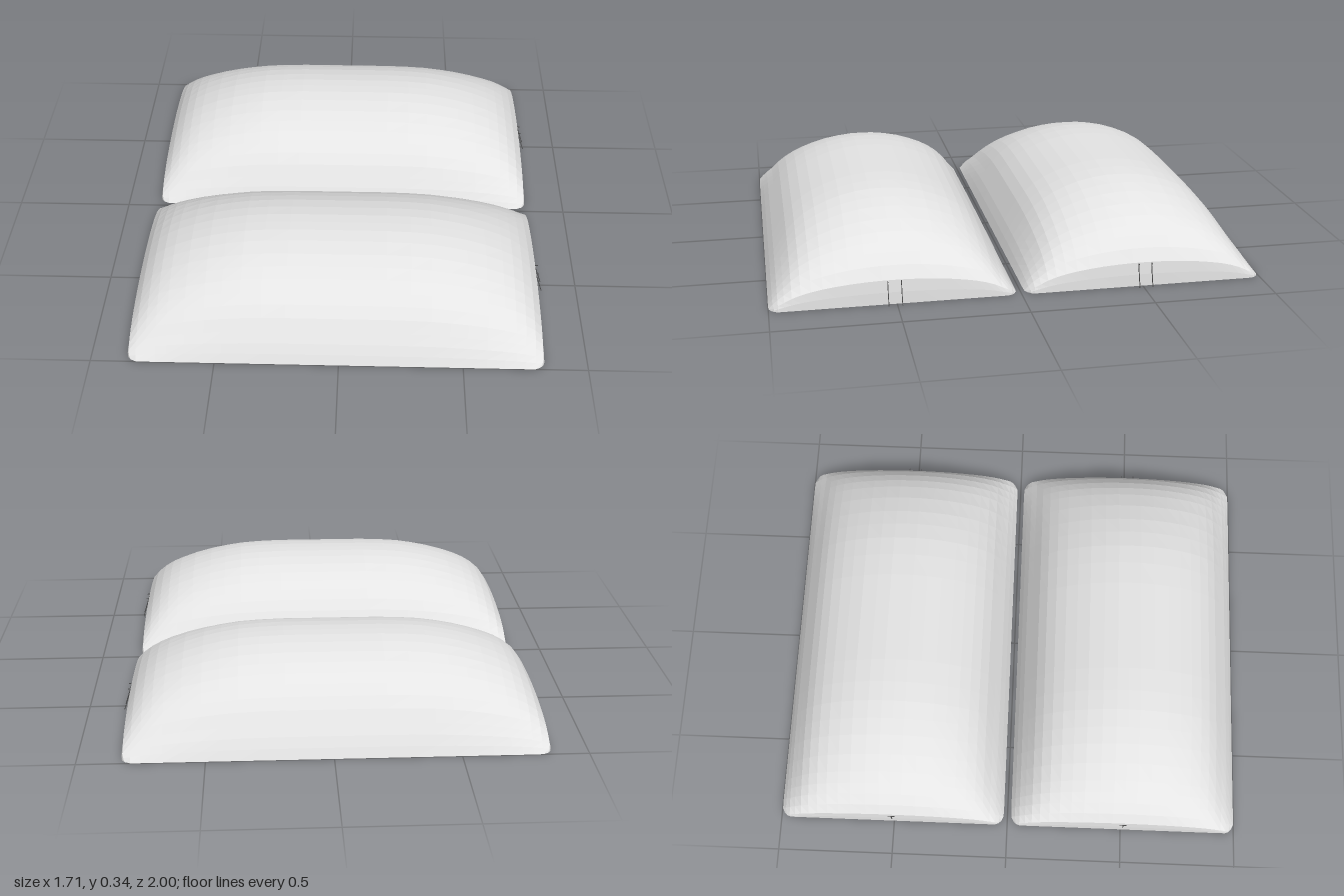
import * as THREE from 'three';

// Half profiles as [distance from the middle, height], from the rim to the crown
const LENGTH = [[0.841, 0], [0.84, 0.05], [0.836, 0.1], [0.805, 0.15], [0.766, 0.19], [0.725, 0.22], [0.68, 0.244],
  [0.61, 0.273], [0.53, 0.298], [0.46, 0.314], [0.385, 0.327], [0.3, 0.334], [0.2, 0.338], [0, 0.338]];
const WIDTH = [[0.492, 0], [0.475, 0.04], [0.455, 0.08], [0.43, 0.12], [0.4, 0.168], [0.365, 0.209], [0.325, 0.243],
  [0.28, 0.271], [0.23, 0.294], [0.175, 0.314], [0.11, 0.329], [0.05, 0.337], [0, 0.338]];
const CROWN = 0.338;

// Full mirrored profile, running from negative to positive
const mirror = (half) => [
  ...half.map(([d, h]) => [-d, h]),
  ...half.slice(0, -1).reverse(),
];

// Grid sheet bent into the inflated dome, or left flat for its floor
function sheet(isFloor) {
  const xs = mirror(LENGTH), zs = mirror(WIDTH);
  const geo = new THREE.PlaneGeometry(2, 2, xs.length - 1, zs.length - 1);
  geo.rotateX(isFloor ? Math.PI / 2 : -Math.PI / 2);
  const pos = geo.attributes.position;
  for (let i = 0; i < pos.count; i++) {
    const [x, hx] = xs[Math.round((pos.getX(i) + 1) / 2 * (xs.length - 1))];
    const [z, hz] = zs[Math.round((pos.getZ(i) + 1) / 2 * (zs.length - 1))];
    // Soften the four corners of the outline
    const cx = Math.max(0, (Math.abs(x) - 0.79) / 0.051);
    const cz = Math.max(0, (Math.abs(z) - 0.445) / 0.047);
    const pull = 0.014 * cx * cx * cz * cz;
    pos.setXYZ(i, x - Math.sign(x) * pull, isFloor ? 0 : hx * hz / CROWN, z - Math.sign(z) * pull);
  }
  const flat = geo.toNonIndexed();
  flat.computeVertexNormals();
  return flat;
}

export function createModel() {
  const fabric = new THREE.MeshStandardMaterial({ color: 0xe4e4e4 });
  fabric.name = 'paleFabric';
  const trim = new THREE.MeshStandardMaterial({ color: 0x4a4a4a });
  trim.name = 'darkTrim';

  const model = new THREE.Group();
  model.name = 'twinDomes';
  const domeGeo = sheet(false), floorGeo = sheet(true);

  for (const side of [1, -1]) {
    const hall = new THREE.Group();
    hall.name = side > 0 ? 'frontHall' : 'backHall';
    hall.position.set(-0.0135, 0, side * 0.508);
    const add = (name, geo, mat, x = 0, y = 0, z = 0) => {
      const mesh = new THREE.Mesh(geo, mat);
      mesh.name = name;
      mesh.position.set(x, y, z);
      hall.add(mesh);
      return mesh;
    };
    add('dome', domeGeo, fabric);
    add('floor', floorGeo, fabric);

    // Thin leaning doorway posts on the +x end
    for (const s of [1, -1]) {
      const post = add('doorPost', new THREE.BoxGeometry(0.003, 0.102, 0.003), trim, 0.85, 0.05, s * 0.027);
      post.rotation.z = 0.32;
      add('doorRail', new THREE.BoxGeometry(0.02, 0.003, 0.003), trim, 0.838, 0.095, s * 0.027);
    }

    // Small vent slits on the -x end
    add('ventSlit', new THREE.BoxGeometry(0.003, 0.04, 0.004), trim, -0.84, 0.06, 0);
    add('ventBar', new THREE.BoxGeometry(0.003, 0.004, 0.03), trim, -0.839, 0.08, 0);
    model.add(hall);
  }
  return model;
}
